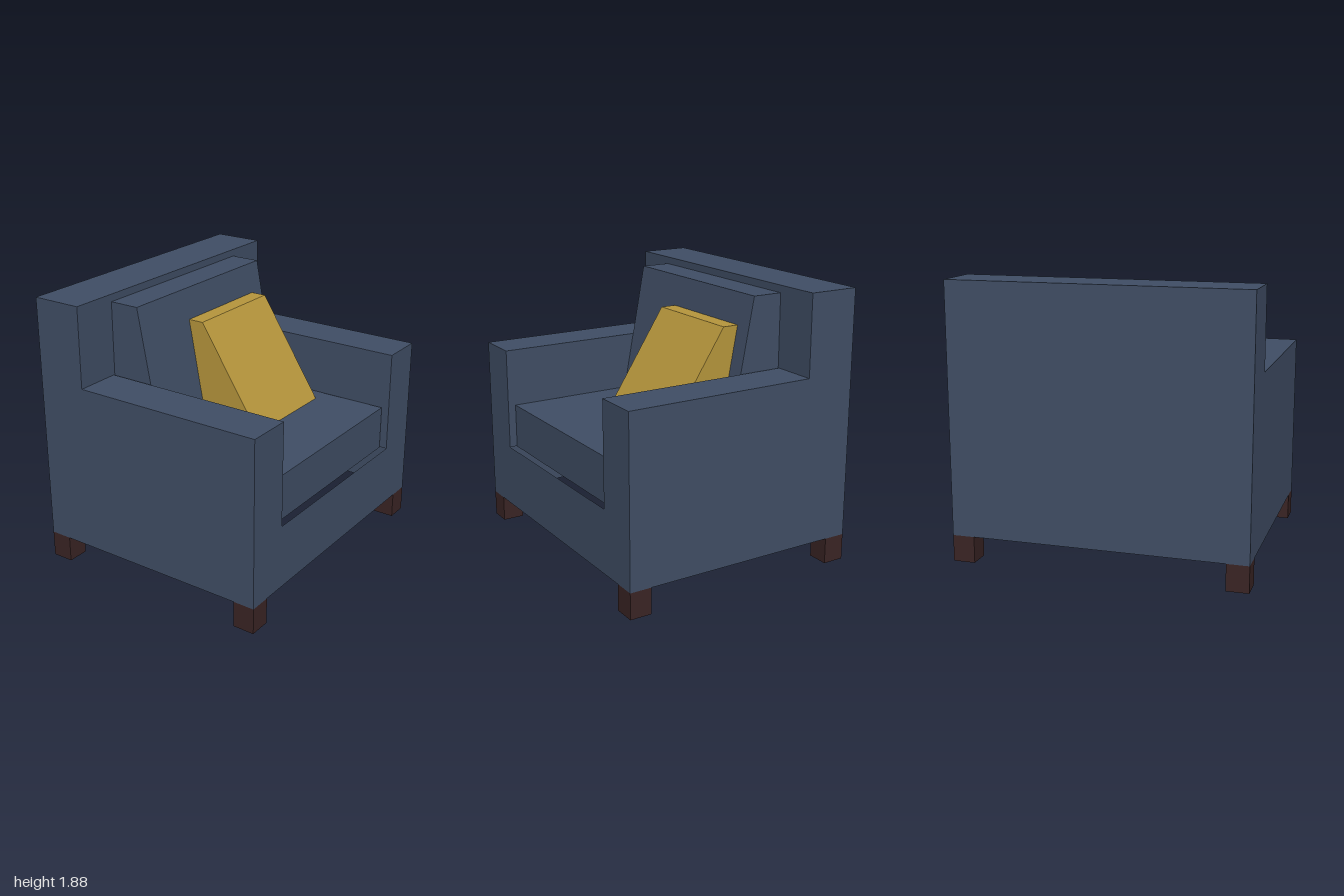
import * as THREE from 'three';

export function createModel() {
  const group = new THREE.Group();
  const material = (name, color) => {
    const m = new THREE.MeshStandardMaterial({ color, side: THREE.DoubleSide });
    m.name = name;
    return m;
  };
  const navy = material('navy fabric', 0x404e65);
  const mustard = material('mustard fabric', 0xb6963c);
  const brown = material('dark brown wood', 0x3a2424);

  const add = (name, geometry, mat, parent = group) => {
    const mesh = new THREE.Mesh(geometry, mat);
    mesh.name = name;
    parent.add(mesh);
    return mesh;
  };
  const shape = (points) =>
    new THREE.ShapeGeometry(new THREE.Shape(points.map(([u, v]) => new THREE.Vector2(u, v))));

  // Upright panel facing +z, outlined in (x, y)
  const frontPanel = (points, z) => shape(points).translate(0, 0, z);

  // Upright panel facing along x, outlined in (z, y); sign is the way it faces
  const sidePanel = (points, x, sign) =>
    shape(points.map(([z, y]) => [-sign * z, y])).rotateY(sign * Math.PI / 2).translate(x, 0, 0);

  // Sheet that follows a (z, y) profile from x0 to x1
  const sheet = (profile, x0, x1) => {
    const positions = [];
    for (let i = 0; i < profile.length - 1; i++) {
      const [za, ya] = profile[i];
      const [zb, yb] = profile[i + 1];
      positions.push(x0, ya, za, x1, ya, za, x1, yb, zb, x0, ya, za, x1, yb, zb, x0, yb, zb);
    }
    const geometry = new THREE.BufferGeometry();
    geometry.setAttribute('position', new THREE.Float32BufferAttribute(positions, 3));
    geometry.computeVertexNormals();
    return geometry;
  };

  // Cushion cover: a sheet over the visible profile, closed by two side panels
  const cushion = (name, mat, x0, x1, outline, visible) => {
    const part = new THREE.Group();
    part.name = name;
    add(name + 'Cover', sheet(outline.slice(0, visible), x0, x1), mat, part);
    add(name + 'LeftSide', sidePanel(outline, x1, 1), mat, part);
    add(name + 'RightSide', sidePanel(outline, x0, -1), mat, part);
    group.add(part);
  };

  const depth = 0.84, base = 0.18, seatBase = 0.62, armTop = 1.33, backTop = 1.88;
  const armIn = 0.69, backZ = -0.49;

  // Hollow upholstered frame, open underneath
  add('frontFrame', frontPanel([
    [-1, base], [1, base], [1, armTop], [armIn, armTop],
    [armIn, seatBase], [-armIn, seatBase], [-armIn, armTop], [-1, armTop],
  ], depth), navy);
  add('backrestFront', frontPanel([
    [-armIn, seatBase], [armIn, seatBase], [armIn, armTop], [1, armTop],
    [1, backTop], [-1, backTop], [-1, armTop], [-armIn, armTop],
  ], backZ), navy);
  add('backrestTopAndRear',
    sheet([[backZ, backTop], [-depth, backTop], [-depth, base]], -1, 1), navy);

  for (const [side, s] of [['left', 1], ['right', -1]]) {
    add(side + 'OuterSide', sidePanel([
      [depth, base], [depth, armTop], [backZ, armTop],
      [backZ, backTop], [-depth, backTop], [-depth, base],
    ], s, s), navy);
    add(side + 'ArmInside', sidePanel([
      [depth, seatBase], [depth, armTop], [backZ, armTop], [backZ, seatBase],
    ], s * armIn, -s), navy);
    add(side + 'ArmTop', sheet([[depth, armTop], [backZ, armTop]],
      s > 0 ? armIn : -1, s > 0 ? 1 : -armIn), navy);

    // Square feet, open-ended
    for (const [end, f] of [['Front', 1], ['Back', -1]]) {
      const foot = new THREE.CylinderGeometry(0.075 * Math.SQRT2, 0.075 * Math.SQRT2, base, 4, 1, true)
        .rotateY(Math.PI / 4).toNonIndexed();
      foot.computeVertexNormals();
      add(side + end + 'Foot', foot, brown)
        .position.set(s * 0.925, base / 2, f * (depth - 0.075));
    }
  }

  // Seat cushion, leaning back cushion and throw pillow
  cushion('seatCushion', navy, -0.68, 0.68,
    [[0.79, 0.62], [0.79, 0.93], [backZ, 0.93], [backZ, 0.62]], 3);
  cushion('backCushion', navy, -0.68, 0.68,
    [[-0.11, 0.93], [-0.28, 1.83], [backZ, 1.83], [backZ, 0.93]], 3);
  cushion('throwPillow', mustard, -0.19, 0.56,
    [[0.32, 0.93], [-0.13, 1.625], [-0.24, 1.625], [-0.11, 0.93]], 3);

  return group;
}
